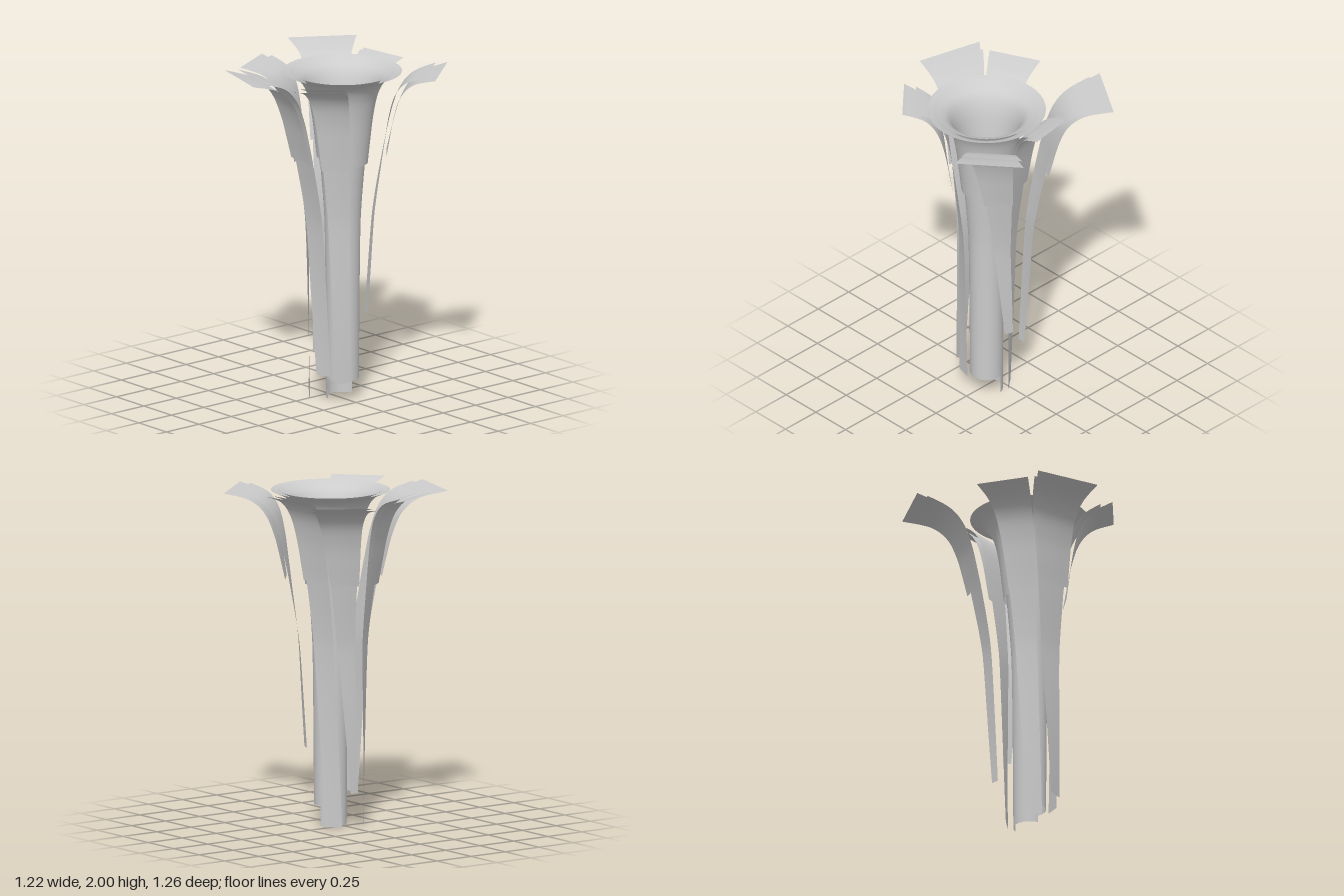
import * as THREE from 'three';

const material = new THREE.MeshStandardMaterial({ color: 0xcccccc, side: THREE.DoubleSide });
const rad = THREE.MathUtils.degToRad;
const axis = { x: 0.02, z: 0.105 }; // vertical axis of the central trumpet
const twist = rad(-30); // turn of every strip's face from its top to its foot

// Shared flare curve: x = share of the outward spread (0..1), y = height
const flare = new THREE.SplineCurve([
  [0, 0], [0.015, 0.5], [0.04, 1], [0.08, 1.2], [0.17, 1.44], [0.23, 1.58],
  [0.31, 1.74], [0.43, 1.87], [0.64, 1.955], [1, 2],
].map(([f, y]) => new THREE.Vector2(f, y))).getPoints(54);

// Part of the flare curve above height y0, starting exactly at y0
function flareFrom(y0) {
  const i = flare.findIndex((p) => p.y > y0 + 1e-4);
  const a = flare[i - 1], b = flare[i];
  return [a.clone().lerp(b, (y0 - a.y) / (b.y - a.y)), ...flare.slice(i)];
}

// Strip from height y0 up to a straight top edge p-q, swinging round the axis as it rises.
// low = foot height of the full strip, radius / turn / foot = its distance, swing and half width there
function strip(name, [p, q], y0, { low, radius, turn, foot }) {
  const rows = flareFrom(y0), cols = 4;
  const geo = new THREE.PlaneGeometry(1, 1, cols, rows.length - 1);
  const pos = geo.attributes.position;
  const cx = (p[0] + q[0]) / 2 - axis.x, cz = (p[1] + q[1]) / 2 - axis.z;
  const topRadius = Math.hypot(cx, cz), topAngle = Math.atan2(cz, cx);
  const dx = q[0] - p[0], dz = q[1] - p[1];
  const topHalf = Math.hypot(dx, dz) / 2, topFace = Math.atan2(dz, dx);
  rows.forEach(({ x: f, y }, r) => {
    const t = (y - low) / (2 - low);
    const half = foot + (topHalf - foot) * (0.3 * t + 0.7 * f);
    const dist = radius + (topRadius - radius) * f;
    const angle = topAngle + rad(turn) * (1 - t);
    const face = topFace + twist * (1 - t);
    for (let c = 0; c <= cols; c++) {
      const s = (c / cols * 2 - 1) * half;
      pos.setXYZ(r * (cols + 1) + c,
        axis.x + dist * Math.cos(angle) + s * Math.cos(face), y,
        axis.z + dist * Math.sin(angle) + s * Math.sin(face));
    }
  });
  geo.computeVertexNormals();
  const mesh = new THREE.Mesh(geo, material);
  mesh.name = name;
  return mesh;
}

// Flared tube whose front part is cut off at yFront and whose back part at yBack
function trumpet(name, r0, r1, yFront, yBack) {
  const tube = new THREE.Group();
  tube.name = name;
  for (const [part, y0, start, sweep] of [['Front', yFront, -105, 210], ['Back', yBack, 105, 150]]) {
    const profile = flareFrom(y0).map(({ x: f, y }) => new THREE.Vector2(r0 + (r1 - r0) * f, y));
    const mesh = new THREE.Mesh(new THREE.LatheGeometry(profile, 32, rad(start), rad(sweep)), material);
    mesh.name = name + part;
    mesh.position.set(axis.x, 0, axis.z);
    tube.add(mesh);
  }
  return tube;
}

// inner / outer: top edge corners (x, z) of the long and the short layer
const petals = [
  { name: 'backLeftPetal', outer: [[0.22, -0.63], [0.565, -0.41]], inner: [[0.205, -0.56], [0.51, -0.36]],
    radius: 0.265, turn: -26, foot: 0.025, low: 0.22, cut: 1.48 },
  { name: 'backPetal', outer: [[-0.115, -0.47], [-0.4, -0.33]], inner: [[-0.09, -0.41], [-0.345, -0.29]],
    radius: 0.195, turn: -26, foot: 0.045, low: 0, cut: 1.44 },
  { name: 'rightPetal', outer: [[-0.505, -0.35], [-0.61, 0.04]], inner: [[-0.435, -0.31], [-0.53, 0.04]],
    radius: 0.18, turn: -37, foot: 0.05, low: 0.17, cut: 1.48 },
  { name: 'frontRightPetal', outer: [[-0.505, 0.27], [-0.285, 0.5]], inner: [[-0.435, 0.24], [-0.24, 0.44]],
    radius: 0.135, turn: -18, foot: 0.048, low: 0.12, cut: 1.44 },
  { name: 'frontLeftPetal', outer: [[0.29, 0.63], [0.605, 0.37]], inner: [[0.27, 0.555], [0.55, 0.33]],
    radius: 0.18, turn: -42, foot: 0.025, low: 0.48, cut: 1.48 },
  { name: 'leftPetal', outer: [[0.47, 0.13], [0.425, -0.18]], inner: [[0.425, 0.115], [0.385, -0.165]],
    radius: 0.14, turn: -43, foot: 0.05, low: 0, cut: 1.48 },
];

export function createModel() {
  const model = new THREE.Group();
  model.name = 'flaredFlower';

  // Central trumpet: long tube with a short collar around its mouth
  const centre = new THREE.Group();
  centre.name = 'centralTrumpet';
  centre.add(trumpet('longTube', 0.096, 0.31, 0.12, 0), trumpet('mouthCollar', 0.108, 0.35, 1.44, 1.48));
  model.add(centre);

  // Six petals, each a long strip with a short strip over its upper outside
  for (const { name, outer, inner, cut, ...shape } of petals) {
    const petal = new THREE.Group();
    petal.name = name;
    petal.add(
      strip('longStrip', inner, shape.low, shape),
      strip('shortStrip', outer, cut, { ...shape, radius: shape.radius + 0.012 }),
    );
    model.add(petal);
  }
  return model;
}
